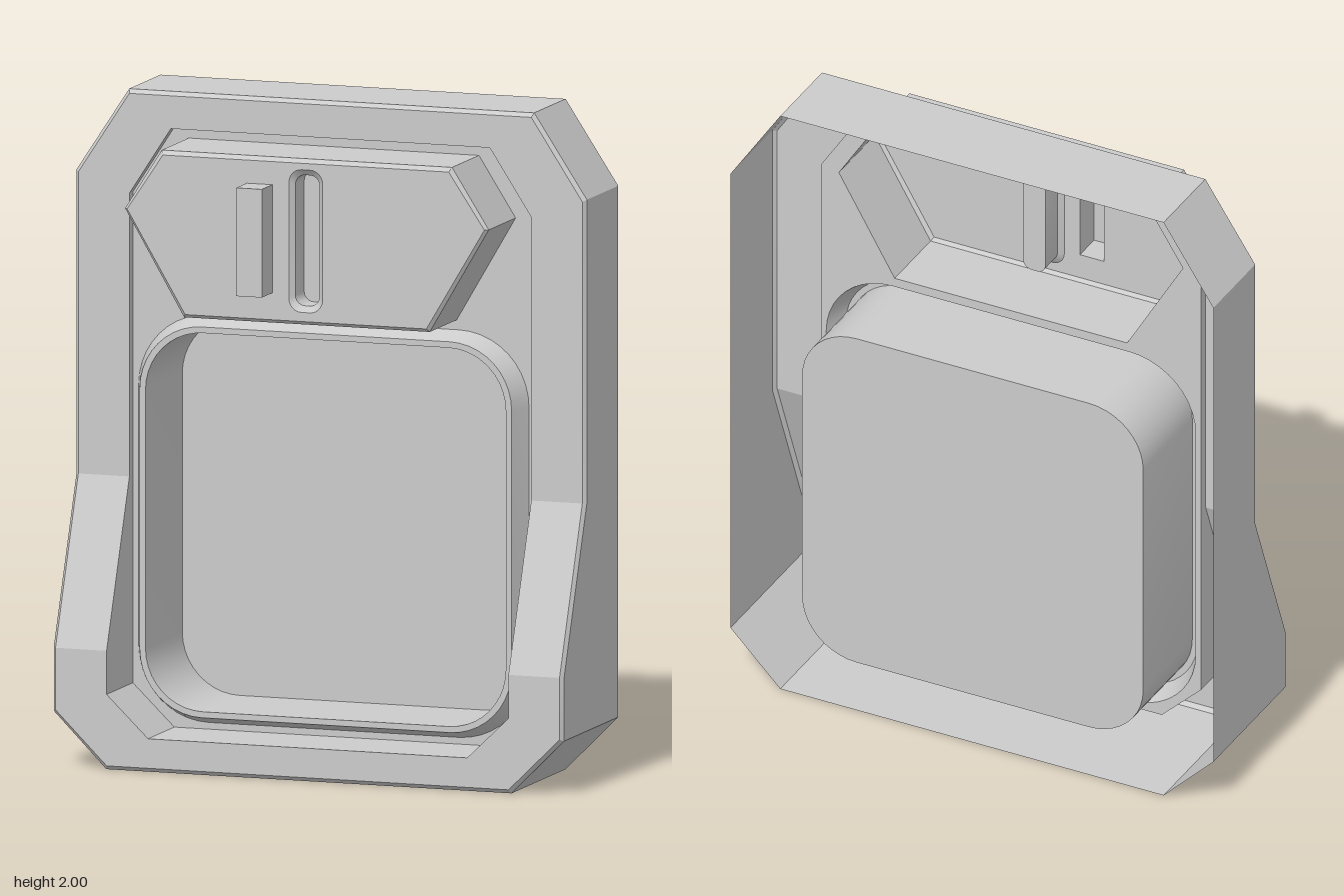
import * as THREE from 'three';
import { toCreasedNormals } from 'three/addons/utils/BufferGeometryUtils.js';

const material = new THREE.MeshStandardMaterial({ color: 0xcccccc, side: THREE.DoubleSide });

// Skin a series of closed loops, each with the same number of [x, y, z] points
function loft(loops) {
  const n = loops[0].length, index = [];
  for (let k = 0; k < loops.length - 1; k++) {
    for (let i = 0; i < n; i++) {
      const a = k * n + i, b = k * n + (i + 1) % n;
      index.push(a, b, b + n, a, b + n, a + n);
    }
  }
  const geo = new THREE.BufferGeometry();
  geo.setAttribute('position', new THREE.Float32BufferAttribute(loops.flat(2), 3));
  geo.setIndex(index);
  return toCreasedNormals(geo, 0.3);
}

// Flat panel bounded by a loop, with optional hole loops
function panel(loop, z, holes = []) {
  const v2 = l => l.map(p => new THREE.Vector2(p[0], p[1]));
  const shape = new THREE.Shape(v2(loop));
  shape.holes = holes.map(h => new THREE.Path(v2(h)));
  return new THREE.ShapeGeometry(shape).translate(0, 0, z);
}

const at = (loop, z) => loop.map(([x, y]) => [x, y, typeof z === 'function' ? z(y) : z]);

// Mirror right-hand points (bottom to top) into a full counter-clockwise loop
const mirror = half => [...half, ...[...half].reverse().map(([x, y]) => [-x, y])];

// Rounded rectangle loop
function rounded(hx, hy, r, cy, cx = 0, seg = 10) {
  const pts = [];
  [[1, -1], [1, 1], [-1, 1], [-1, -1]].forEach(([sx, sy], q) => {
    for (let i = 0; i <= seg; i++) {
      const a = (q - 1 + i / seg) * Math.PI / 2;
      pts.push([cx + sx * (hx - r) + r * Math.cos(a), cy + sy * (hy - r) + r * Math.sin(a)]);
    }
  });
  return pts;
}

export function createModel() {
  const group = new THREE.Group();
  const add = (name, ...geos) => {
    const part = new THREE.Group();
    part.name = name;
    geos.forEach((g, i) => {
      const mesh = new THREE.Mesh(g, material);
      mesh.name = name + (i ? 'Panel' : 'Wall');
      part.add(mesh);
    });
    group.add(part);
  };
  const PLATE = -0.04, BACK = -0.29;

  // Outer frame: chamfered shell whose front slopes out towards the bottom
  const front = y => -0.01 + 0.195 * THREE.MathUtils.clamp((0.845 - y) / 0.49, 0, 1);
  const octagon = (x, xb, xt, y0, y1, y2, y3) =>
    mirror([[xb, y0], [x, y1], [x, 0.355], [x, 0.845], [x, y2], [xt, y3]]);
  const outer = octagon(0.8, 0.635, 0.635, 0, 0.165, 1.75, 2);
  const bevel = octagon(0.79, 0.63, 0.63, 0.012, 0.17, 1.745, 1.988);
  const inner = octagon(0.63, 0.5, 0.5, 0.1, 0.225, 1.69, 1.89);
  add('frame', loft([
    at(outer, BACK), at(outer, y => front(y) - 0.012), at(bevel, front),
    at(inner, front), at(inner, PLATE),
  ]));

  // Visor outline and tray lip outline, both opening through the face plate
  const visor = mirror([[0.385, 1.365], [0.57, 1.68], [0.455, 1.86]]);
  const visorFront = mirror([[0.378, 1.375], [0.56, 1.68], [0.448, 1.847]]);
  const cy = 0.728;
  const lip = rounded(0.612, 0.608, 0.22, cy);
  add('facePlate', panel(inner, PLATE, [visor, lip]));

  // Deep rounded tray with a raised, sloping lip
  const tray = rounded(0.565, 0.565, 0.18, cy);
  const rim = rounded(0.583, 0.583, 0.195, cy);
  add('tray', loft([at(lip, PLATE), at(rim, 0.03), at(tray, 0.03), at(tray, -0.285)]),
    panel(tray, -0.285));

  // Raised hexagonal visor, hollow behind, with openings for slot and block
  const slot = rounded(0.053, 0.213, 0.04, 1.615, 0, 6);
  const slotFloor = rounded(0.038, 0.195, 0.03, 1.615, 0, 6);
  const block = [[-0.185, 1.455], [-0.105, 1.455], [-0.105, 1.778], [-0.185, 1.778]];
  add('visor', loft([at(visor, PLATE), at(visor, 0.19), at(visorFront, 0.2)]),
    panel(visorFront, 0.2, [slot, block]));

  // Recessed slot
  add('slot', loft([at(slot, 0.2), at(slotFloor, 0.185), at(slotFloor, 0.11)]),
    panel(slotFloor, 0.11));

  // Protruding block, open behind
  add('block', loft([at(block, 0.2), at(block, 0.29)]), panel(block, 0.29));

  return group;
}
